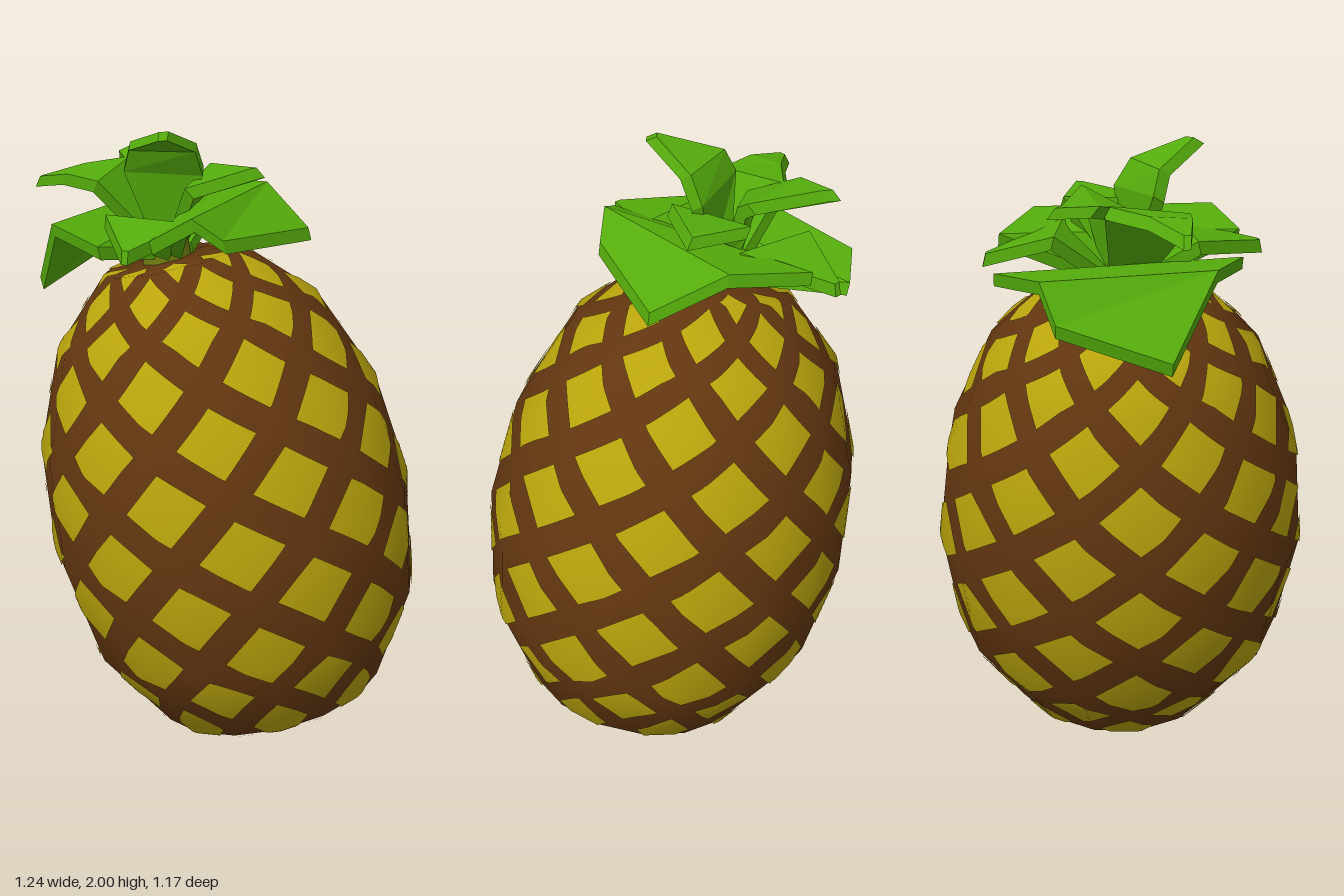
import * as THREE from 'three';

const mat = (name, color) => Object.assign(new THREE.MeshStandardMaterial({ color }), { name });

const SIDES = 16;
const COLUMNS = 18;
// Fruit profile, bottom to top: radius, height along the leaning axis
const PROFILE = [[0, 0], [0.165, 0], [0.376, 0.113], [0.541, 0.4], [0.587, 0.74],
  [0.547, 1.075], [0.417, 1.38], [0.22, 1.575], [0, 1.58]];

// Returns a sampler giving point and normal on the faceted fruit skin
function skinSampler(lathe) {
  const rings = PROFILE.length;
  const read = (attr, u, v) => {
    const i = Math.floor(u), j = Math.min(Math.floor(v), rings - 2);
    const at = (a, b) => new THREE.Vector3().fromBufferAttribute(attr, (a % SIDES) * rings + b);
    const low = at(i, j).lerp(at(i + 1, j), u - i);
    const high = at(i, j + 1).lerp(at(i + 1, j + 1), u - i);
    return low.lerp(high, v - j);
  };
  return (u, v) => {
    const w = ((u % SIDES) + SIDES) % SIDES;
    const normal = read(lathe.attributes.normal, w, v).normalize();
    return { normal, point: read(lathe.attributes.position, w, v).addScaledVector(normal, 0.005) };
  };
}

// All the diamond scales, laid in staggered columns over the skin
function scalesGeometry(sample) {
  const N = 8, F = 0.65, step = SIDES / COLUMNS, pos = [], nor = [], idx = [];
  for (let c = 0; c < COLUMNS; c++) {
    for (let k = 0; k < 8; k++) {
      const vc = k + (c % 2 ? 0.13 : 0.63);
      if (vc < 0.7 || vc > 7.4) continue;
      const start = pos.length / 3;
      for (let i = 0; i <= N; i++) {
        for (let j = 0; j <= N; j++) {
          const a = i / N - 0.5, b = j / N - 0.5;
          const v = THREE.MathUtils.clamp(vc + F * 0.5 * (a - b), 0.6, 7.6);
          const { point, normal } = sample(3.73 + step * (c + F * (a + b)), v);
          pos.push(...point.toArray());
          nor.push(...normal.toArray());
          if (i < N && j < N) {
            const p = start + i * (N + 1) + j, q = p + N + 1;
            idx.push(p, p + 1, q + 1, p, q + 1, q);
          }
        }
      }
    }
  }
  const g = new THREE.BufferGeometry();
  g.setAttribute('position', new THREE.Float32BufferAttribute(pos, 3));
  g.setAttribute('normal', new THREE.Float32BufferAttribute(nor, 3));
  g.setIndex(idx);
  return g;
}

// Thick folded leaf: each station is a pair of edge points, from base to tip
function leafGeometry(stations, thick = 0.04) {
  const pairs = stations.map(([b, a]) => [new THREE.Vector3(...a), new THREE.Vector3(...b)]);
  const mid = ([a, b]) => a.clone().add(b).multiplyScalar(0.5);
  const width = pairs[1][1].clone().sub(pairs[1][0]);
  const along = mid(pairs[pairs.length - 1]).sub(mid(pairs[0]));
  const down = width.cross(along).normalize().multiplyScalar(-thick);
  const rings = pairs.map(([a, b]) => [a, b, b.clone().add(down), a.clone().add(down)]);
  const pos = [];
  const quad = (a, b, c, d) => [a, b, c, a, c, d].forEach(p => pos.push(p.x, p.y, p.z));
  for (let s = 0; s < rings.length - 1; s++) {
    for (let j = 0; j < 4; j++) {
      const k = (j + 1) % 4;
      quad(rings[s][j], rings[s][k], rings[s + 1][k], rings[s + 1][j]);
    }
  }
  quad(...rings[rings.length - 1]);
  quad(...[...rings[0]].reverse());
  const g = new THREE.BufferGeometry();
  g.setAttribute('position', new THREE.Float32BufferAttribute(pos, 3));
  g.computeVertexNormals();
  return g;
}

const LEAVES = {
  lowerLeftLeaf: [[[-0.18, 1.62, 0.06], [-0.2, 1.62, -0.06]], [[-0.08, 1.72, 0.35], [-0.2, 1.75, -0.37]],
    [[0.02, 1.78, 0.28], [0.02, 1.78, -0.26]], [[0.09, 1.71, 0.22], [0.21, 1.68, -0.14]]],
  lowerRightLeaf: [[[-0.2, 1.62, -0.06], [-0.22, 1.62, 0.06]], [[-0.34, 1.67, -0.39], [-0.26, 1.68, 0.33]],
    [[-0.48, 1.68, -0.27], [-0.48, 1.7, 0.22]], [[-0.53, 1.57, -0.23], [-0.62, 1.48, 0.08]]],
  lowerFrontLeaf: [[[-0.24, 1.62, 0.02], [-0.14, 1.62, 0.02]], [[-0.31, 1.74, 0.19], [-0.04, 1.74, 0.18]],
    [[-0.14, 1.7, 0.4], [-0.12, 1.7, 0.4]]],
  lowerBackLeaf: [[[-0.14, 1.62, -0.04], [-0.24, 1.62, -0.04]], [[-0.1, 1.77, -0.18], [-0.34, 1.77, -0.22]],
    [[-0.25, 1.71, -0.41], [-0.27, 1.71, -0.41]]],
  upperRightLeaf: [[[-0.22, 1.64, -0.05], [-0.22, 1.64, 0.05]], [[-0.37, 1.86, -0.08], [-0.35, 1.83, 0.16]],
    [[-0.47, 1.85, 0.03], [-0.46, 1.84, 0.15]], [[-0.57, 1.82, 0.11], [-0.57, 1.82, 0.13]]],
  upperLeftLeaf: [[[-0.18, 1.64, 0.05], [-0.18, 1.64, -0.05]], [[-0.09, 1.82, 0.1], [-0.14, 1.84, -0.18]],
    [[0.03, 1.85, -0.11], [0.04, 1.85, -0.13]]],
  upperBackLeaf: [[[-0.16, 1.64, -0.04], [-0.25, 1.64, -0.02]], [[-0.16, 1.86, -0.1], [-0.3, 1.83, 0]],
    [[-0.17, 1.88, -0.13], [-0.42, 1.87, -0.1]], [[-0.4, 1.87, -0.2], [-0.43, 1.87, -0.22]]],
  upperFrontLeaf: [[[-0.24, 1.64, 0], [-0.16, 1.64, 0]], [[-0.31, 1.87, 0.06], [-0.09, 1.86, -0.03]],
    [[-0.28, 1.94, 0.08], [-0.09, 1.94, 0.02]], [[-0.12, 2, 0.2], [-0.1, 2, 0.18]]],
};

export function createModel() {
  const model = new THREE.Group();
  model.name = 'pineapple';
  const brown = mat('rind brown', 0x633610);
  const yellow = mat('scale yellow', 0xb9a40c);
  const green = mat('leaf green', 0x55ad0c);
  const olive = mat('core olive', 0x6f7a10);

  const add = (parent, name, geometry, material) => {
    const mesh = new THREE.Mesh(geometry, material);
    mesh.name = name;
    parent.add(mesh);
    return mesh;
  };

  // Leaning fruit, turned slightly about its own axis
  const fruit = new THREE.Group();
  fruit.name = 'fruit';
  fruit.position.set(0.19, 0.04, 0);
  fruit.rotation.set(0, 0.105, 0.24, 'ZYX');
  model.add(fruit);
  const lathe = new THREE.LatheGeometry(PROFILE.map(p => new THREE.Vector2(...p)), SIDES);
  add(fruit, 'rind', lathe, brown);
  add(fruit, 'scales', scalesGeometry(skinSampler(lathe)), yellow);

  // Crown
  const crown = new THREE.Group();
  crown.name = 'crown';
  model.add(crown);
  add(crown, 'crownCore', new THREE.CylinderGeometry(0.05, 0.08, 0.14, 6), olive)
    .position.set(-0.2, 1.62, 0);
  for (const [name, stations] of Object.entries(LEAVES)) add(crown, name, leafGeometry(stations), green);
  return model;
}
